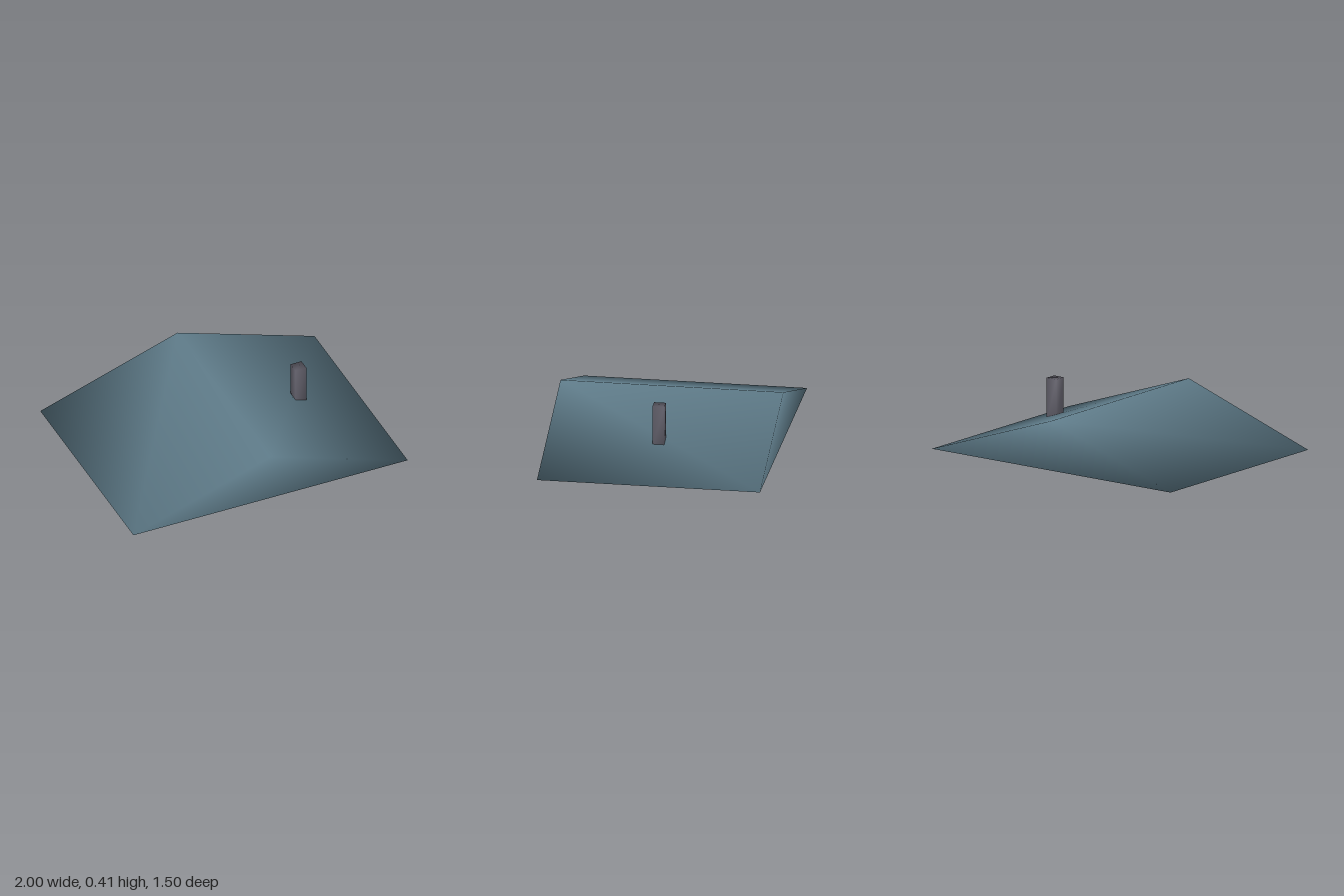
import * as THREE from 'three';
import { mergeVertices } from 'three/addons/utils/BufferGeometryUtils.js';

// Share corners so that the shading runs smoothly round the edges
function smooth(geometry) {
  geometry.deleteAttribute('normal');
  geometry.deleteAttribute('uv');
  const merged = mergeVertices(geometry);
  merged.computeVertexNormals();
  return merged;
}

// Triangular prism: one gable section repeated at the front and back
function gableGeometry(halfWidth, height, halfDepth) {
  const positions = [];
  for (const z of [halfDepth, -halfDepth]) {
    positions.push(-halfWidth, 0, z, 0, height, z, halfWidth, 0, z);
  }
  const geometry = new THREE.BufferGeometry();
  geometry.setAttribute('position', new THREE.Float32BufferAttribute(positions, 3));
  geometry.setIndex([
    0, 2, 1, 3, 4, 5, // gables
    0, 1, 4, 0, 4, 3, // right slope
    1, 2, 5, 1, 5, 4, // left slope
    0, 3, 2, 3, 5, 2, // underside
  ]);
  geometry.computeVertexNormals();
  return geometry;
}

export function createModel() {
  const group = new THREE.Group();
  group.name = 'gableRoof';

  const slate = new THREE.MeshStandardMaterial({ color: 0x607d8b });
  slate.name = 'blueGreySlate';
  const stone = new THREE.MeshStandardMaterial({ color: 0x62606b });
  stone.name = 'greyStone';

  // Wide, low roof
  const roof = new THREE.Mesh(gableGeometry(1, 0.34, 0.75), slate);
  roof.name = 'roof';
  group.add(roof);

  // Chimney rising through the left slope
  const chimney = new THREE.Mesh(smooth(new THREE.BoxGeometry(0.08, 0.3, 0.08)), stone);
  chimney.name = 'chimney';
  chimney.position.set(0.543, 0.26, 0);
  group.add(chimney);

  return group;
}
